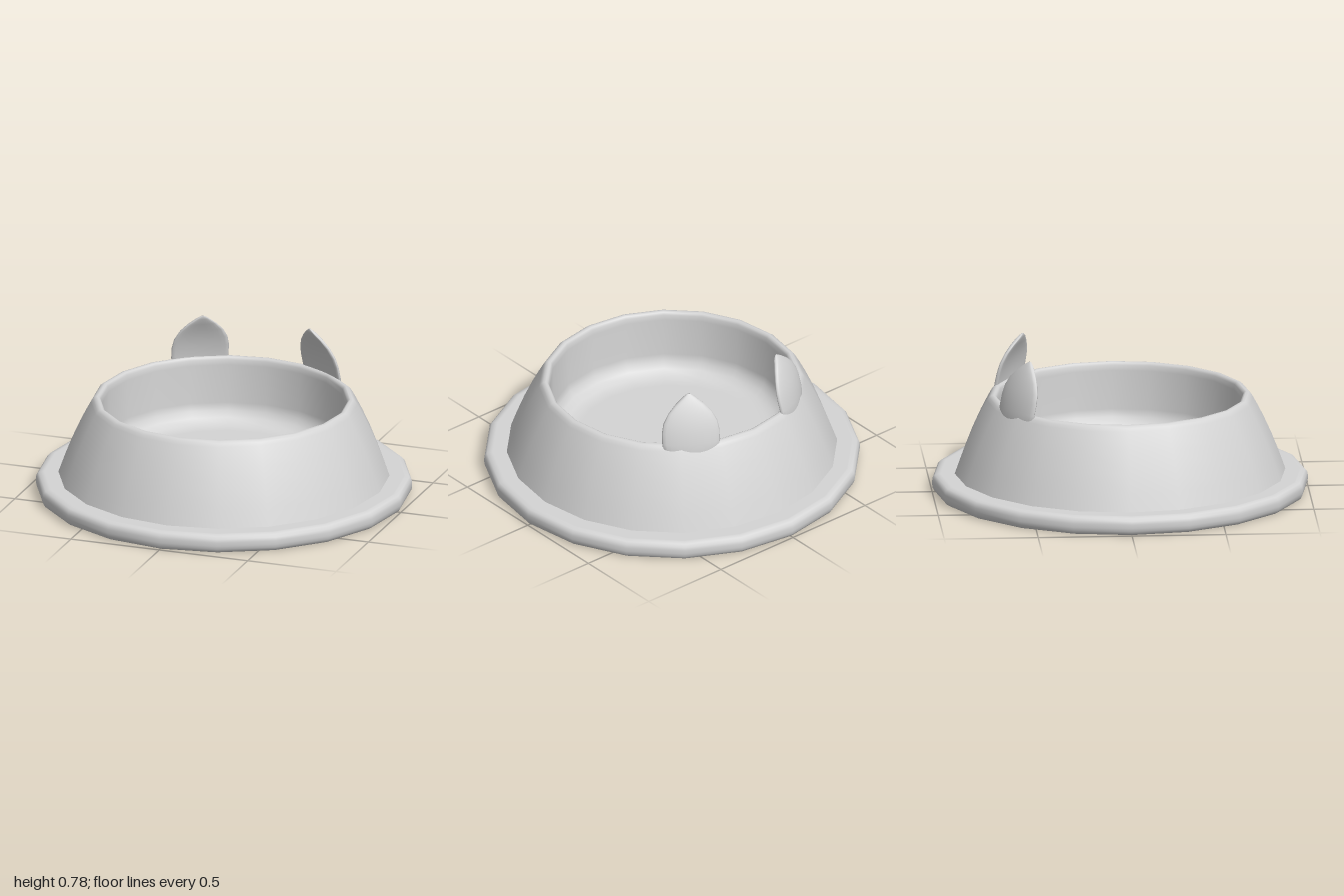
import * as THREE from 'three';
import { mergeVertices } from 'three/addons/utils/BufferGeometryUtils.js';

const SIDES = 20;

// Revolved skin; the profile runs counter-clockwise (up the outside, down the inside)
function ring(name, profile, material) {
  const points = profile.map(([r, y]) => new THREE.Vector2(r, y));
  const mesh = new THREE.Mesh(new THREE.LatheGeometry(points, SIDES), material);
  mesh.name = name;
  return mesh;
}

// Ear sections: [height, radius from the bowl axis, half width, half thickness]
const EAR = [
  [0.45, 0.694, 0.148, 0.016],
  [0.53, 0.684, 0.155, 0.016],
  [0.59, 0.670, 0.155, 0.016],
  [0.64, 0.655, 0.145, 0.016],
  [0.69, 0.634, 0.117, 0.016],
  [0.73, 0.613, 0.078, 0.016],
  [0.765, 0.593, 0.034, 0.014],
  [0.782, 0.584, 0.008, 0.005],
];

function earGeometry() {
  const rows = EAR.length - 1;
  const geo = new THREE.CylinderGeometry(1, 1, 1, 24, rows);
  const p = geo.attributes.position;
  const soft = (v) => Math.sign(v) * Math.pow(Math.abs(v), 0.5);
  for (let i = 0; i < p.count; i++) {
    const [y, r, w, t] = EAR[Math.round((p.getY(i) + 0.5) * rows)];
    const u = p.getX(i) * w;
    // the slab curves with the rim
    p.setXYZ(i, u, y, r + soft(p.getZ(i)) * t - u * u * 0.8);
  }
  geo.deleteAttribute('normal');
  geo.deleteAttribute('uv');
  const smooth = mergeVertices(geo, 1e-4);
  smooth.computeVertexNormals();
  return smooth;
}

export function createModel() {
  const grey = new THREE.MeshStandardMaterial({ color: 0xd4d4d4 });
  grey.name = 'light grey';
  const model = new THREE.Group();
  model.name = 'petBowl';

  // Foot flange with a rounded, downturned lip
  model.add(ring('footFlange', [
    [0.965, 0.012], [0.97, 0.003], [0.978, 0], [0.988, 0.006], [0.997, 0.022], [1, 0.04],
    [1, 0.06], [0.997, 0.078], [0.985, 0.092], [0.965, 0.098], [0.955, 0.098], [0.88, 0.098],
  ], grey));
  model.add(ring('flangeUnderside', [
    [0.88, 0.075], [0.94, 0.075], [0.95, 0.073], [0.96, 0.063], [0.965, 0.05], [0.965, 0.012],
  ], grey));

  // Sloping wall, rounded rim, inner wall and dish floor
  model.add(ring('bowl', [
    [0.88, 0.098], [0.847, 0.19], [0.808, 0.29], [0.763, 0.39], [0.73, 0.455], [0.708, 0.495],
    [0.698, 0.512], [0.686, 0.522], [0.672, 0.525], [0.662, 0.52], [0.655, 0.508], [0.652, 0.48],
    [0.647, 0.27], [0.638, 0.23], [0.615, 0.197], [0.58, 0.174], [0.54, 0.165], [0.5, 0.163], [0, 0.163],
  ], grey));

  // Hollow underside: dish bottom and the back of the sloping wall
  model.add(ring('dishUnderside', [
    [0, 0.14], [0.53, 0.14], [0.57, 0.144], [0.615, 0.16], [0.646, 0.195], [0.66, 0.235], [0.665, 0.27], [0.67, 0.495],
  ], grey));
  model.add(ring('wallUnderside', [
    [0.67, 0.495], [0.71, 0.455], [0.743, 0.39], [0.79, 0.29], [0.83, 0.19], [0.865, 0.105], [0.88, 0.075],
  ], grey));

  // Two pointed ears at the back, leaning inward
  const geo = earGeometry();
  for (const [name, side] of [['leftEar', 1], ['rightEar', -1]]) {
    const ear = new THREE.Mesh(geo, grey);
    ear.name = name;
    ear.rotation.y = side * (Math.PI - 0.545);
    model.add(ear);
  }
  return model;
}
